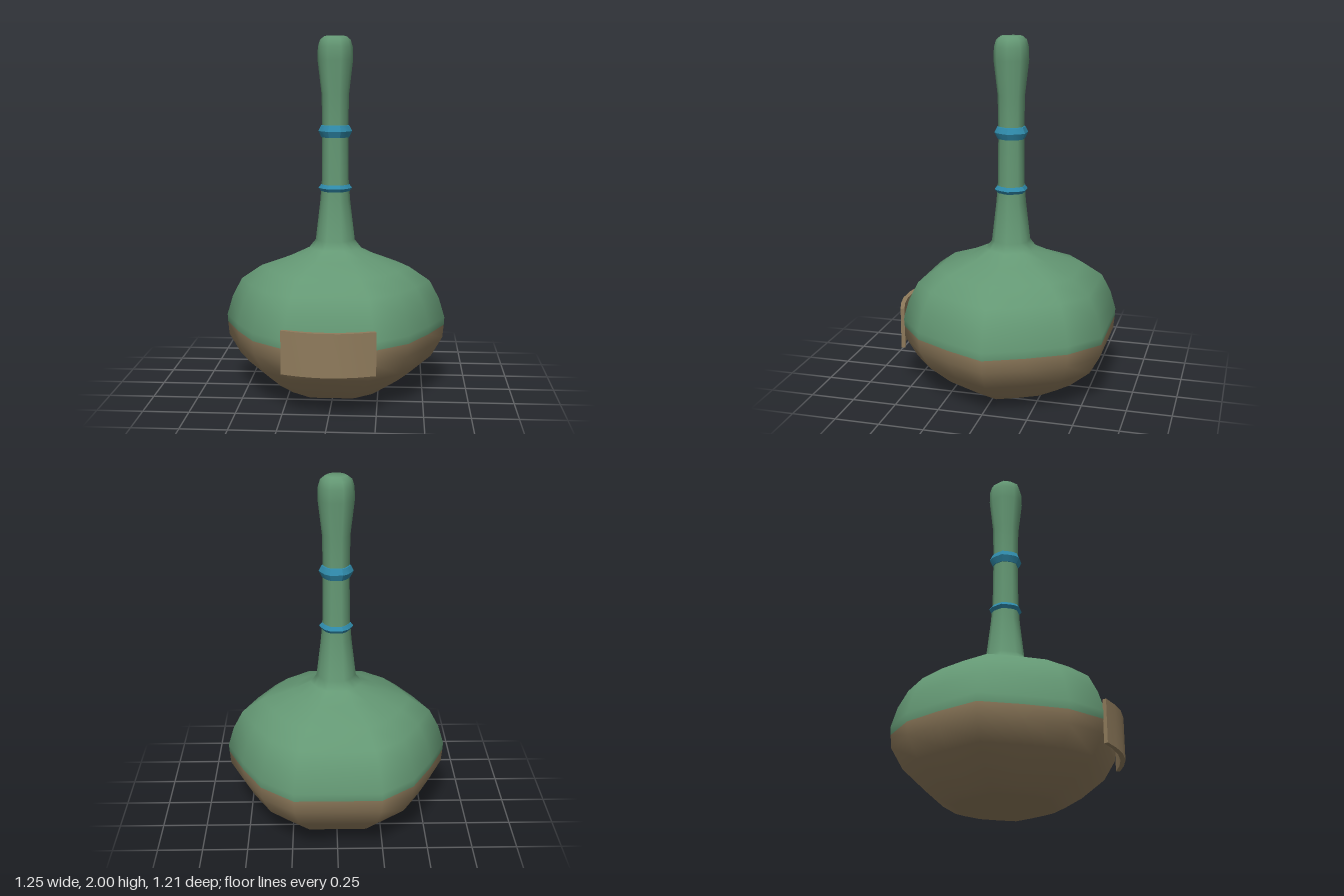
import * as THREE from 'three';
import { toCreasedNormals } from 'three/addons/utils/BufferGeometryUtils.js';

const CENTRE_Z = -0.033;

// Faceted outline shared by body, neck and rings, as fractions of the half width
const quarter = [[1, 0], [0.85, 0.345], [0.672, 0.672], [0.38, 0.912]];
const half = [...quarter, ...quarter.slice(1).reverse().map(([x, z]) => [-x, z])];
const outline = [...half, [-1, 0], ...half.slice(1).reverse().map(([x, z]) => [x, -z])];

// Lofts the outline along [radius, height] rows; rows below splitY use material 0
function loft(rows, splitY = -1) {
  const n = outline.length, pos = [], index = [];
  for (const [r, y] of rows) for (const [x, z] of outline) pos.push(x * r, y, z * r);
  let split = 0;
  for (let i = 0; i < rows.length - 1; i++) {
    for (let j = 0; j < n; j++) {
      const k = (j + 1) % n;
      const a = i * n + j, b = i * n + k, c = a + n, d = b + n;
      if (rows[i + 1][0] > 0) index.push(a, c, d);
      if (rows[i][0] > 0) index.push(a, d, b);
    }
    if (rows[i + 1][1] <= splitY) split = index.length;
  }
  const g = new THREE.BufferGeometry();
  g.setAttribute('position', new THREE.Float32BufferAttribute(pos, 3));
  g.setIndex(index);
  if (split) {
    g.addGroup(0, split, 0);
    g.addGroup(split, index.length - split, 1);
  }
  g.computeVertexNormals();
  return g;
}

export function createModel() {
  const brown = new THREE.MeshStandardMaterial({ color: 0x8f7b5c });
  brown.name = 'brown clay';
  const green = new THREE.MeshStandardMaterial({ color: 0x649874 });
  green.name = 'green glaze';
  const blue = new THREE.MeshStandardMaterial({ color: 0x2f8aaa });
  blue.name = 'blue band';

  const group = new THREE.Group();
  const add = (name, geometry, material, y = 0, z = CENTRE_Z) => {
    const mesh = new THREE.Mesh(geometry, material);
    mesh.name = name;
    mesh.position.set(0, y, z);
    group.add(mesh);
  };

  // Bottle: squat belly, slim neck and bulbous tip, two-tone at y = 0.37
  add('bottle', loft([
    [0, 0.015], [0.2, 0.012], [0.275, 0.005], [0.33, 0.024], [0.42, 0.078], [0.55, 0.186],
    [0.615, 0.297], [0.622, 0.37], [0.625, 0.414], [0.592, 0.525], [0.538, 0.627],
    [0.422, 0.706], [0.255, 0.765], [0.147, 0.815], [0.111, 0.86], [0.085, 1.08],
    [0.076, 1.2], [0.073, 1.48], [0.077, 1.68], [0.099, 1.87], [0.097, 1.94],
    [0.085, 1.98], [0.06, 2], [0, 2],
  ], 0.37), [brown, green]);

  // Neck bands: wedge-shaped collars
  for (const [name, y, h] of [['lowerBand', 1.155, 0.022], ['upperBand', 1.475, 0.035]]) {
    const rows = [[0.068, -h], [0.078, -h], [0.095, 0], [0.08, h * 0.9], [0.068, h]];
    add(name, toCreasedNormals(loft(rows), 0.55), blue, y);
  }

  // Curved plaque on the front
  const outer = [[-0.25, 0.55], [-0.155, 0.583], [-0.057, 0.603], [0.057, 0.603], [0.155, 0.583], [0.25, 0.55]];
  const inner = [[0.24, 0.53], [0.148, 0.56], [0.053, 0.577], [-0.053, 0.577], [-0.148, 0.56], [-0.24, 0.53]];
  const shape = new THREE.Shape([...outer, ...inner].map(([x, z]) => new THREE.Vector2(x, -z)));
  const plaque = new THREE.ExtrudeGeometry(shape, { depth: 0.235, bevelEnabled: false });
  plaque.rotateX(-Math.PI / 2);
  add('plaque', toCreasedNormals(plaque, 0.6), brown, 0.24, 0);

  return group;
}
